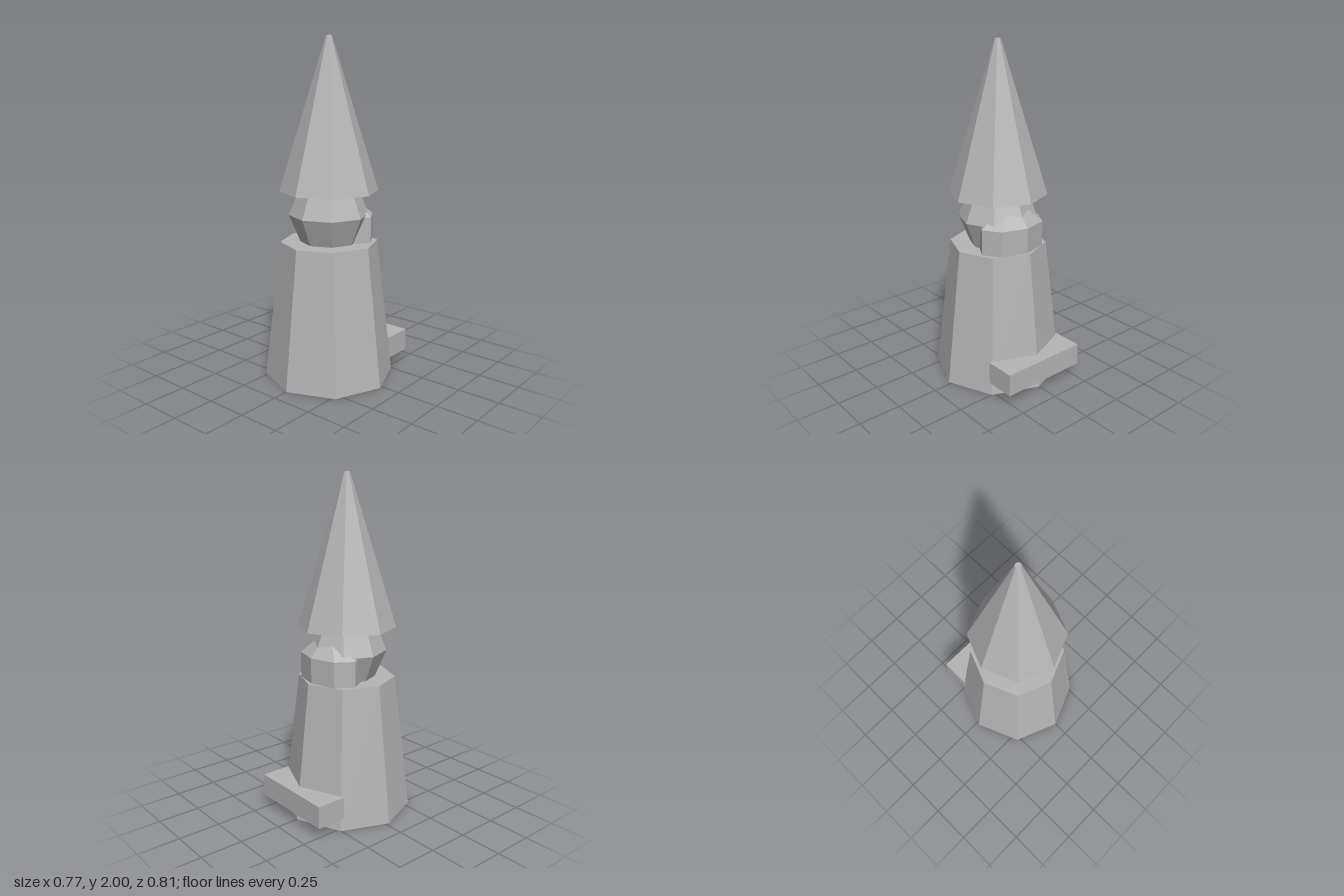
import * as THREE from 'three';

const AXIS_Z = 0.02; // the body axis sits slightly forward of the origin

export function createModel() {
  const model = new THREE.Group();
  model.name = 'figure';
  const grey = new THREE.MeshStandardMaterial({ color: 0xb4b4b4, flatShading: true });
  grey.name = 'stoneGrey';

  const add = (name, geometry, y, z = AXIS_Z) => {
    const mesh = new THREE.Mesh(geometry, grey);
    mesh.name = name;
    mesh.position.set(0, y, z);
    model.add(mesh);
    return mesh;
  };

  // Tapered eight-sided robe
  add('body', new THREE.CylinderGeometry(0.287, 0.385, 0.82, 8), 0.41);

  // Low-poly ball head, sunk into the robe and the hat
  add('head', new THREE.SphereGeometry(0.235, 8, 4), 0.98);

  // Tall pointed hat with a tiny blunt tip
  add('hat', new THREE.CylinderGeometry(0.017, 0.29, 0.88, 8), 1.56);

  // Flattened tuft of hair behind the head: a straight wall with a pointed crown
  const wall = add('hairWall', new THREE.CylinderGeometry(1, 1, 0.19, 8, 1, true), 0.875, -0.1);
  const crown = add('hairCrown', new THREE.ConeGeometry(1, 0.16, 8, 1, true), 1.05, -0.1);
  const base = add('hairBase', new THREE.CircleGeometry(1, 8).rotateX(Math.PI / 2), 0.78, -0.1);
  for (const part of [wall, crown, base]) part.scale.set(0.217, 1, 0.145);

  // Slab at the back of the hem
  add('backSlab', new THREE.BoxGeometry(0.544, 0.133, 0.18), 0.138, -0.32);

  return model;
}
